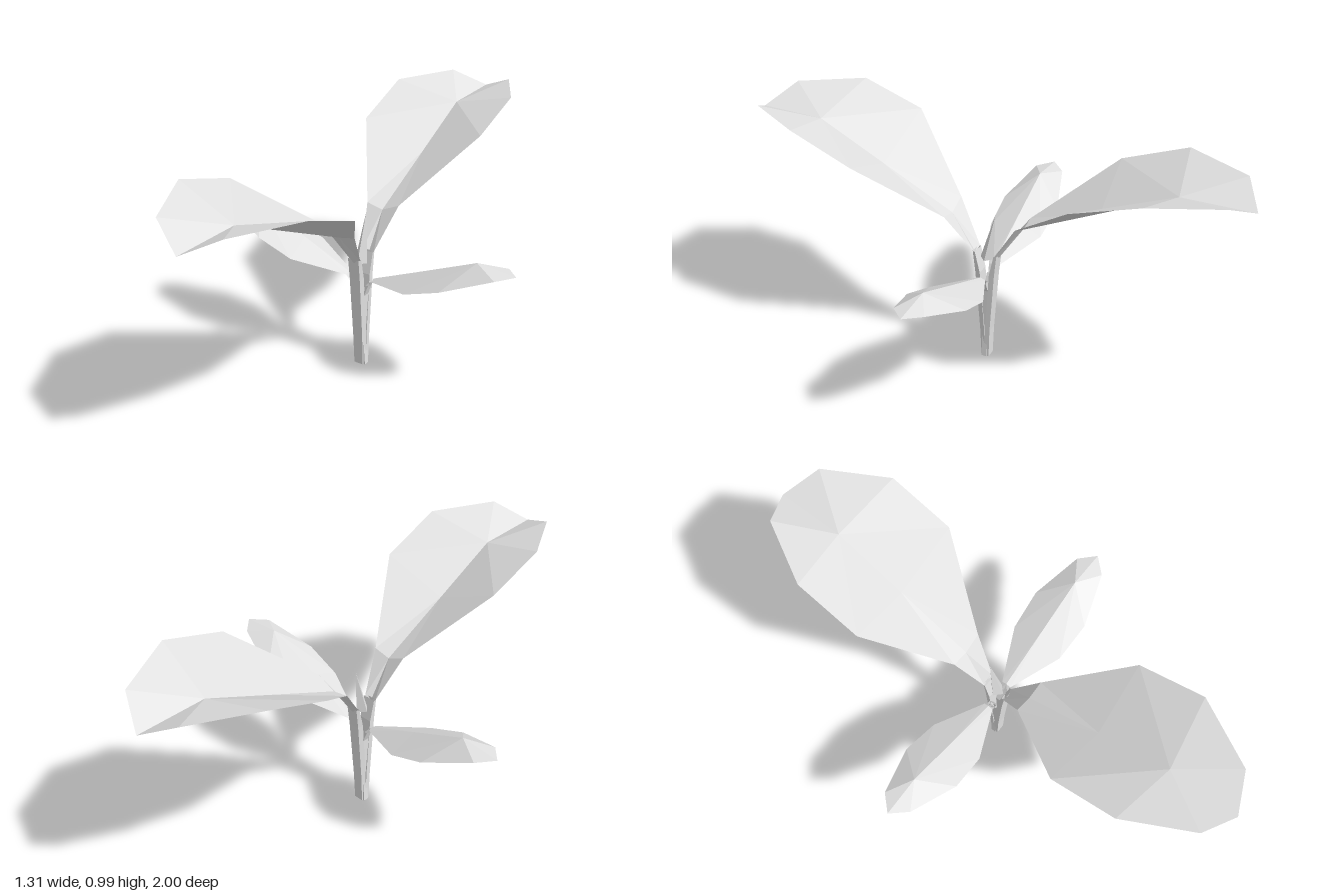
import * as THREE from 'three';

const leafGrey = new THREE.MeshStandardMaterial({ color: 0xe2e2e2, flatShading: true, side: THREE.DoubleSide });
leafGrey.name = 'pale grey';

function facetMesh(name, triangles) {
  const geometry = new THREE.BufferGeometry();
  geometry.setAttribute('position', new THREE.Float32BufferAttribute(triangles.flat(2), 3));
  geometry.computeVertexNormals();
  const mesh = new THREE.Mesh(geometry, leafGrey);
  mesh.name = name;
  return mesh;
}

// Creased sheet: each row is [edge, midrib, edge]; the last midrib point is the tip
function blade(name, rows) {
  const tris = [];
  for (let i = 0; i < rows.length - 1; i++) {
    const [a, m, b] = rows[i], [a2, m2, b2] = rows[i + 1];
    if (i === rows.length - 2) tris.push([a, m, a2], [a2, m, m2], [m, b, b2], [m, b2, m2]);
    else tris.push([a, m2, a2], [a, m, m2], [m, b, m2], [m2, b, b2]);
  }
  return facetMesh(name, tris);
}

// Four-sided stalk from sections [y, inner depth, outer depth, half width]
function stalk(name, sections) {
  const rings = sections.map(([y, inner, outer, w]) =>
    [[-w, y, outer], [w * 0.8, y, outer], [w, y, inner], [-w, y, inner]]);
  const tris = [];
  for (let i = 0; i < rings.length - 1; i++) {
    for (let k = 0; k < 4; k++) {
      const n = (k + 1) % 4, p = rings[i], q = rings[i + 1];
      tris.push([p[k], p[n], q[n]], [p[k], q[n], q[k]]);
    }
  }
  const b = rings[0];
  tris.push([b[0], b[2], b[1]], [b[0], b[3], b[2]]);
  return facetMesh(name, tris);
}

function largeLeaf() {
  const leaf = new THREE.Group();
  leaf.add(
    blade('largeBlade', [
      [[-0.028, 0.49, 0.045], [0, 0.475, 0.052], [0.025, 0.49, 0.045]],
      [[-0.075, 0.66, 0.15], [0, 0.625, 0.15], [0.07, 0.64, 0.15]],
      [[-0.27, 0.9, 0.43], [0, 0.77, 0.45], [0.26, 0.87, 0.43]],
      [[-0.27, 0.985, 0.685], [0, 0.905, 0.73], [0.26, 0.97, 0.685]],
      [[-0.14, 0.975, 0.93], [0, 0.908, 1.0], [0.13, 0.972, 0.93]],
    ]),
    stalk('largeStalk', [
      [0, 0, 0.017, 0.022], [0.13, 0.002, 0.022, 0.024],
      [0.4, 0.02, 0.042, 0.026], [0.49, 0.04, 0.052, 0.027],
    ]));
  return leaf;
}

function smallLeaf() {
  const leaf = new THREE.Group();
  leaf.add(
    blade('smallBlade', [
      [[-0.016, 0.37, 0.042], [0, 0.365, 0.042], [0.016, 0.37, 0.042]],
      [[-0.02, 0.395, 0.058], [0, 0.402, 0.058], [0.02, 0.395, 0.058]],
      [[-0.112, 0.445, 0.26], [0, 0.495, 0.27], [0.112, 0.445, 0.26]],
      [[-0.12, 0.502, 0.41], [0, 0.597, 0.5], [0.12, 0.502, 0.41]],
      [[-0.06, 0.576, 0.6], [0, 0.583, 0.656], [0.06, 0.576, 0.6]],
    ]),
    stalk('smallStalk', [
      [0, 0.008, 0.026, 0.012], [0.13, 0.006, 0.019, 0.014],
      [0.32, 0.01, 0.024, 0.018], [0.37, 0.03, 0.042, 0.016],
    ]));
  return leaf;
}

export function createModel() {
  const plant = new THREE.Group();
  plant.name = 'plant';

  // Opposite pairs of leaves around the stem
  [0, 1].forEach((i) => {
    const large = largeLeaf();
    large.name = i ? 'backLargeLeaf' : 'frontLargeLeaf';
    large.rotation.y = i * Math.PI;
    const small = smallLeaf();
    small.name = i ? 'rightSmallLeaf' : 'leftSmallLeaf';
    small.rotation.y = Math.PI / 2 + i * Math.PI;
    plant.add(large, small);
  });

  // Slim bud leaning back between the large leaves
  const budGeometry = new THREE.ConeGeometry(0.028, 0.2, 4).translate(0, 0.1, 0);
  const p = budGeometry.attributes.position;
  for (let i = 0; i < p.count; i++) p.setZ(i, p.getZ(i) - 0.035 * p.getY(i) / 0.2);
  budGeometry.computeVertexNormals();
  const bud = new THREE.Mesh(budGeometry, leafGrey);
  bud.name = 'bud';
  bud.position.y = 0.46;
  plant.add(bud);

  return plant;
}
